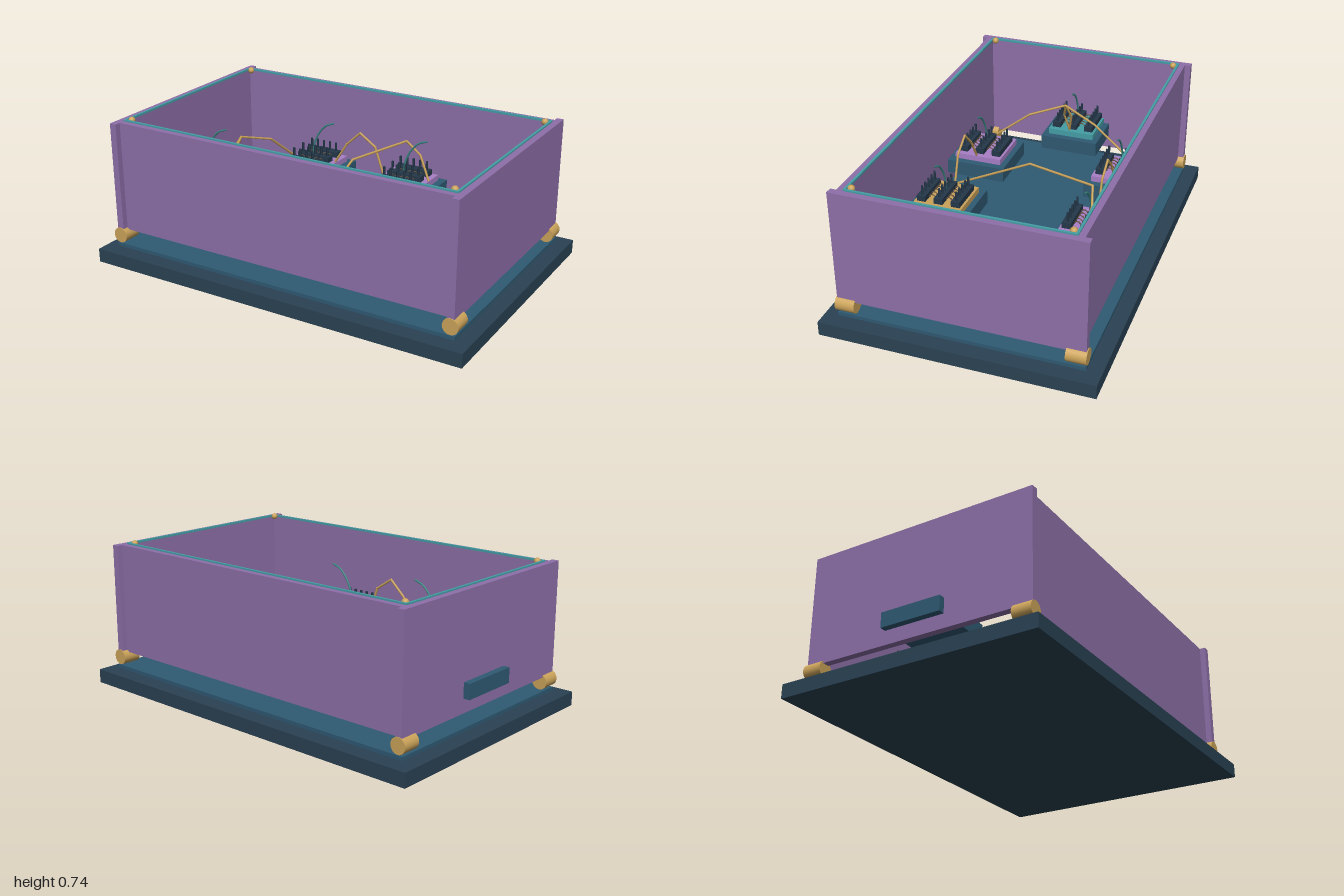
import * as THREE from 'three';

const mat = (color) => new THREE.MeshStandardMaterial({ color });
const M = {
  base: mat(0x2a4254), plate: mat(0x2f5a73), wall: mat(0x8e70a9), lilac: mat(0xa87fc6),
  gold: mat(0xcba35a), teal: mat(0x459ea6), chip: mat(0x25384a), coil: mat(0x6b5a4a), antenna: mat(0x3a8a86),
};

function add(parent, name, geometry, material, x = 0, y = 0, z = 0) {
  const mesh = new THREE.Mesh(geometry, material);
  mesh.name = name;
  mesh.position.set(x, y, z);
  parent.add(mesh);
  return mesh;
}
const box = (w, h, d) => new THREE.BoxGeometry(w, h, d);

// Thin wire made of straight links through the given points
function wire(parent, name, points, material, radius = 0.006) {
  const group = new THREE.Group();
  group.name = name;
  const p = points.map((a) => new THREE.Vector3(...a));
  for (let i = 0; i + 1 < p.length; i++) {
    const dir = p[i + 1].clone().sub(p[i]);
    const mid = p[i].clone().lerp(p[i + 1], 0.5);
    const link = add(group, 'wireLink', new THREE.CylinderGeometry(radius, radius, dir.length() + radius, 6),
      material, mid.x, mid.y, mid.z);
    link.quaternion.setFromUnitVectors(new THREE.Vector3(0, 1, 0), dir.normalize());
  }
  parent.add(group);
}

// Circuit module: block, coloured board, three pin headers, coils and an antenna
function circuitModule(parent, name, x, z, color) {
  const g = new THREE.Group();
  g.name = name;
  g.position.set(x, 0, z);
  add(g, 'moduleBlock', box(0.325, 0.075, 0.31), M.plate, 0, 0.2725, 0);
  add(g, 'moduleBoard', box(0.25, 0.03, 0.25), color, 0, 0.325, 0);
  for (const dz of [-0.09, 0, 0.09]) {
    add(g, 'pinHeader', box(0.19, 0.03, 0.045), M.chip, 0, 0.355, dz);
    for (let i = -2; i <= 2; i++) {
      add(g, 'pin', new THREE.CylinderGeometry(0.006, 0.006, 0.05, 6), M.chip, i * 0.038, 0.393, dz);
    }
  }
  for (const dz of [-0.045, 0.045]) {
    for (let i = -2; i <= 2; i++) {
      const coil = add(g, 'coil', new THREE.TorusGeometry(0.02, 0.003, 5, 10, Math.PI), M.coil, i * 0.028, 0.345, dz);
      coil.rotation.y = Math.PI / 2 - 0.3;
    }
  }
  const curve = new THREE.CatmullRomCurve3([[-0.01, 0.36, 0], [-0.005, 0.42, 0], [0.025, 0.49, 0], [0.07, 0.54, 0], [0.12, 0.56, 0]]
    .map((a) => new THREE.Vector3(...a)));
  add(g, 'antenna', new THREE.TubeGeometry(curve, 12, 0.005, 6), M.antenna);
  parent.add(g);
}

export function createModel() {
  const model = new THREE.Group();
  model.name = 'electronicsBox';

  // Base slab and floor plate
  add(model, 'baseSlab', box(2, 0.07, 1.32), M.base, 0, 0.035, 0);
  add(model, 'floorPlate', box(1.86, 0.018, 1.18), M.plate, 0, 0.088, 0);

  // Walls and top rim
  for (const s of [-1, 1]) {
    add(model, 'sideWall', box(0.035, 0.56, 1.18), M.wall, s * 0.9075, 0.445, 0);
    add(model, 'longWall', box(1.78, 0.56, 0.03), M.wall, 0, 0.445, s * 0.545);
    add(model, 'longRim', box(1.78, 0.01, 0.012), M.teal, 0, 0.727, s * 0.524);
    add(model, 'shortRim', box(0.012, 0.01, 1.036), M.teal, s * 0.886, 0.727, 0);
  }

  // Corner rollers and corner studs
  for (const sx of [-1, 1]) {
    for (const sz of [-1, 1]) {
      const foot = add(model, 'cornerFoot', new THREE.CylinderGeometry(0.039, 0.039, 0.095, 24), M.gold,
        sx * 0.908, 0.141, sz * 0.547);
      foot.rotation.x = Math.PI / 2;
      add(model, 'cornerStud', new THREE.SphereGeometry(0.017, 14, 10), M.gold, sx * 0.862, 0.727, sz * 0.502);
    }
  }

  // Circuit modules
  circuitModule(model, 'backLeftModule', -0.367, -0.375, M.lilac);
  circuitModule(model, 'backRightModule', 0.18, -0.375, M.lilac);
  circuitModule(model, 'frontLeftModule', -0.367, 0.37, M.lilac);
  circuitModule(model, 'frontRightModule', 0.18, 0.37, M.gold);
  circuitModule(model, 'portModule', -0.795, -0.003, M.teal);

  // Arching wires between the modules
  for (const s of [-1, 1]) {
    wire(model, 'branchWire', [[-0.66, 0.36, 0], [-0.625, 0.46, -s * 0.02], [-0.58, 0.54, 0],
      [-0.52, 0.485, s * 0.18], [-0.5, 0.335, s * 0.375]], M.gold);
    wire(model, 'linkWire', [[-0.24, 0.35, s * 0.375], [-0.17, 0.46, s * 0.375], [-0.09, 0.535, s * 0.375],
      [0.0, 0.475, s * 0.375], [0.05, 0.335, s * 0.375]], M.gold);
  }
  wire(model, 'crossWire', [[0.31, 0.35, -0.38], [0.25, 0.47, -0.4], [0.18, 0.54, -0.38],
    [0.065, 0.53, -0.03], [0.05, 0.335, 0.37]], M.gold);

  return model;
}
